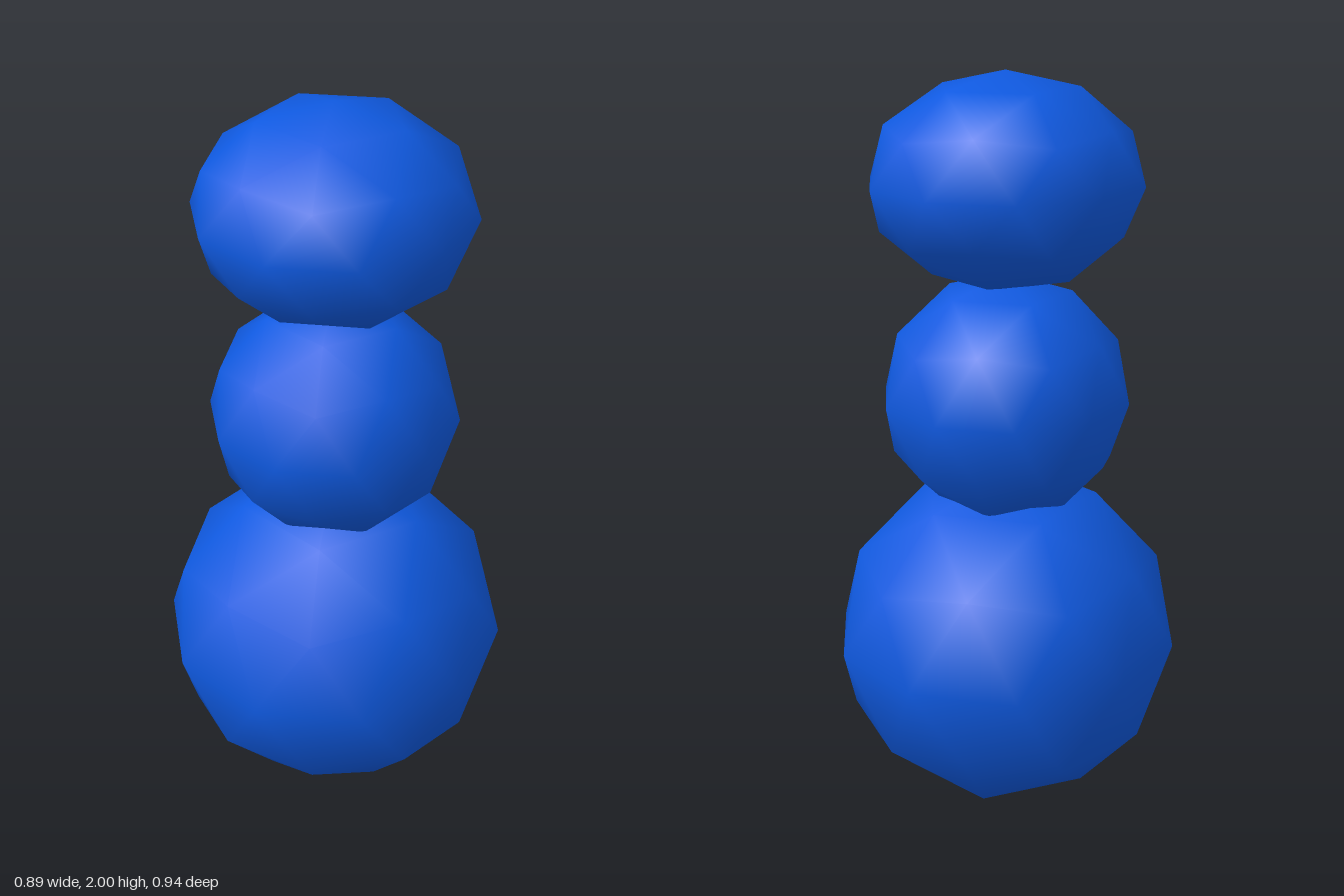
import * as THREE from 'three';

// Low-poly ball standing on one vertex, with smooth normals
function ball(name, radius, halfHeight, y, material) {
  const geometry = new THREE.IcosahedronGeometry(1, 1);
  const golden = (1 + Math.sqrt(5)) / 2;
  geometry.rotateZ(-Math.atan(1 / golden)); // bring a corner to the top
  geometry.scale(radius, halfHeight, radius);
  const mesh = new THREE.Mesh(geometry, material);
  mesh.name = name;
  mesh.position.y = y;
  return mesh;
}

export function createModel() {
  const group = new THREE.Group();
  group.name = 'stackedFigure';
  const blue = new THREE.MeshStandardMaterial({ color: 0x0f59e0 });

  // Three stacked balls, the head slightly flattened
  group.add(
    ball('lowerBody', 0.47, 0.47, 0.47, blue),
    ball('upperBody', 0.334, 0.334, 1.15, blue),
    ball('head', 0.363, 0.28, 1.72, blue),
  );
  return group;
}
